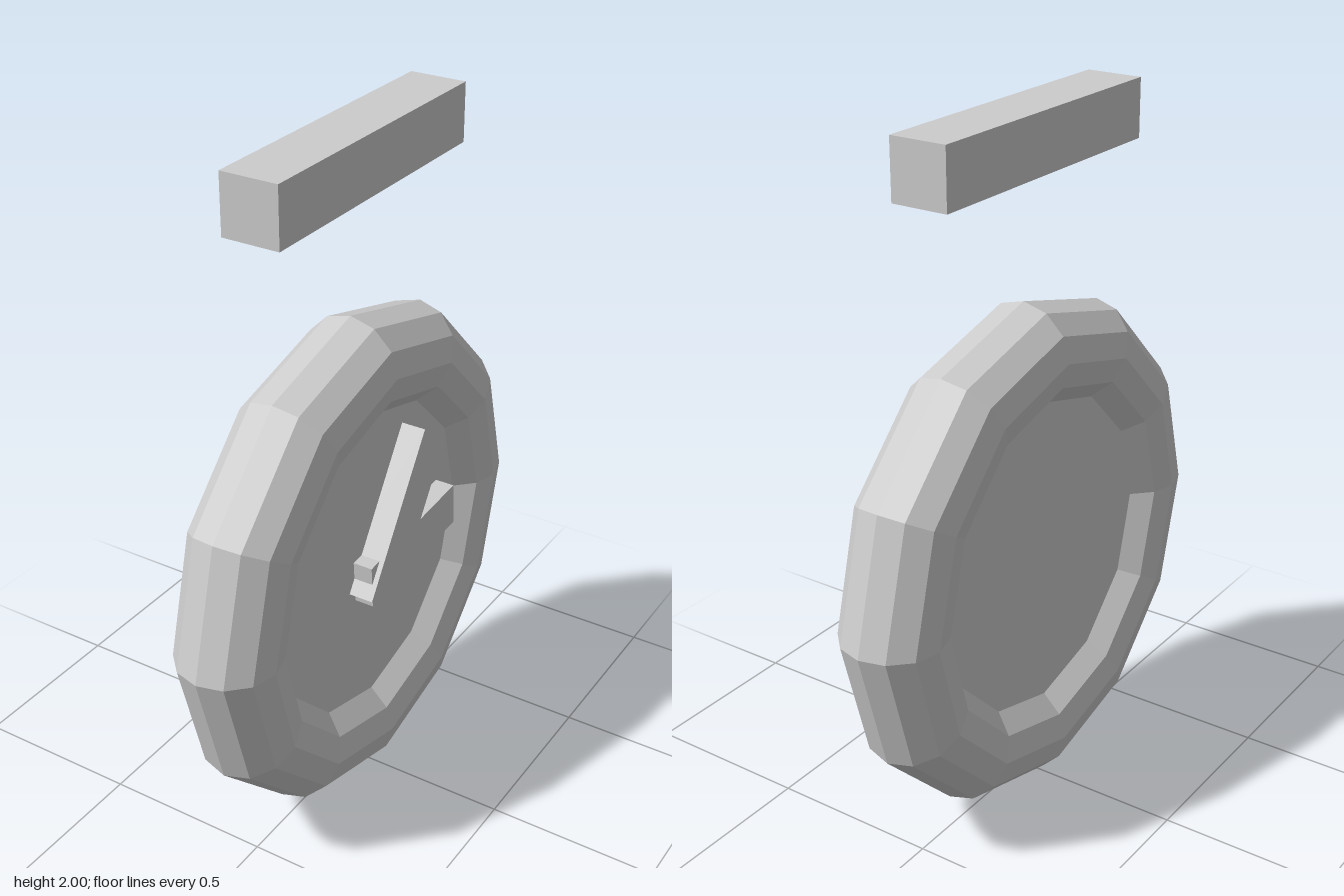
import * as THREE from 'three';

const CENTER_Y = 0.738; // height of the dial centre
const RING = 0.59;
const TUBE = 0.147;

export function createModel() {
  const model = new THREE.Group();
  const material = new THREE.MeshStandardMaterial({ color: 0xcccccc, flatShading: true });

  const add = (name, geometry, x, y, z, parent = model) => {
    const mesh = new THREE.Mesh(geometry, material);
    mesh.name = name;
    mesh.position.set(x, y, z);
    parent.add(mesh);
    return mesh;
  };

  // Faceted rim, with its axis along x
  add('rim', new THREE.TorusGeometry(RING, TUBE, 12, 12).rotateY(Math.PI / 2), 0, CENTER_Y, 0);

  // Dial disc, its edge buried in the rim
  add('dial', new THREE.CylinderGeometry(0.475, 0.475, TUBE, 12).rotateZ(Math.PI / 2), 0, CENTER_Y, 0);

  // Two hands on the +x face, tilted towards -z
  const hands = new THREE.Group();
  hands.name = 'hands';
  model.add(hands);
  const addHand = (name, width, length, y, z, degrees) => {
    const hand = add(name, new THREE.BoxGeometry(width, length, width), width / 2, y, z, hands);
    hand.rotation.x = -THREE.MathUtils.degToRad(degrees);
  };
  addHand('longHand', 0.147, 0.502, 0.853, -0.078, 33.2);
  addHand('shortHand', 0.132, 0.461, 0.728, -0.135, 85.6);

  // Bar floating above the dial
  add('topBar', new THREE.BoxGeometry(0.166, 0.166, 0.876), 0, 1.917, 0);

  return model;
}
